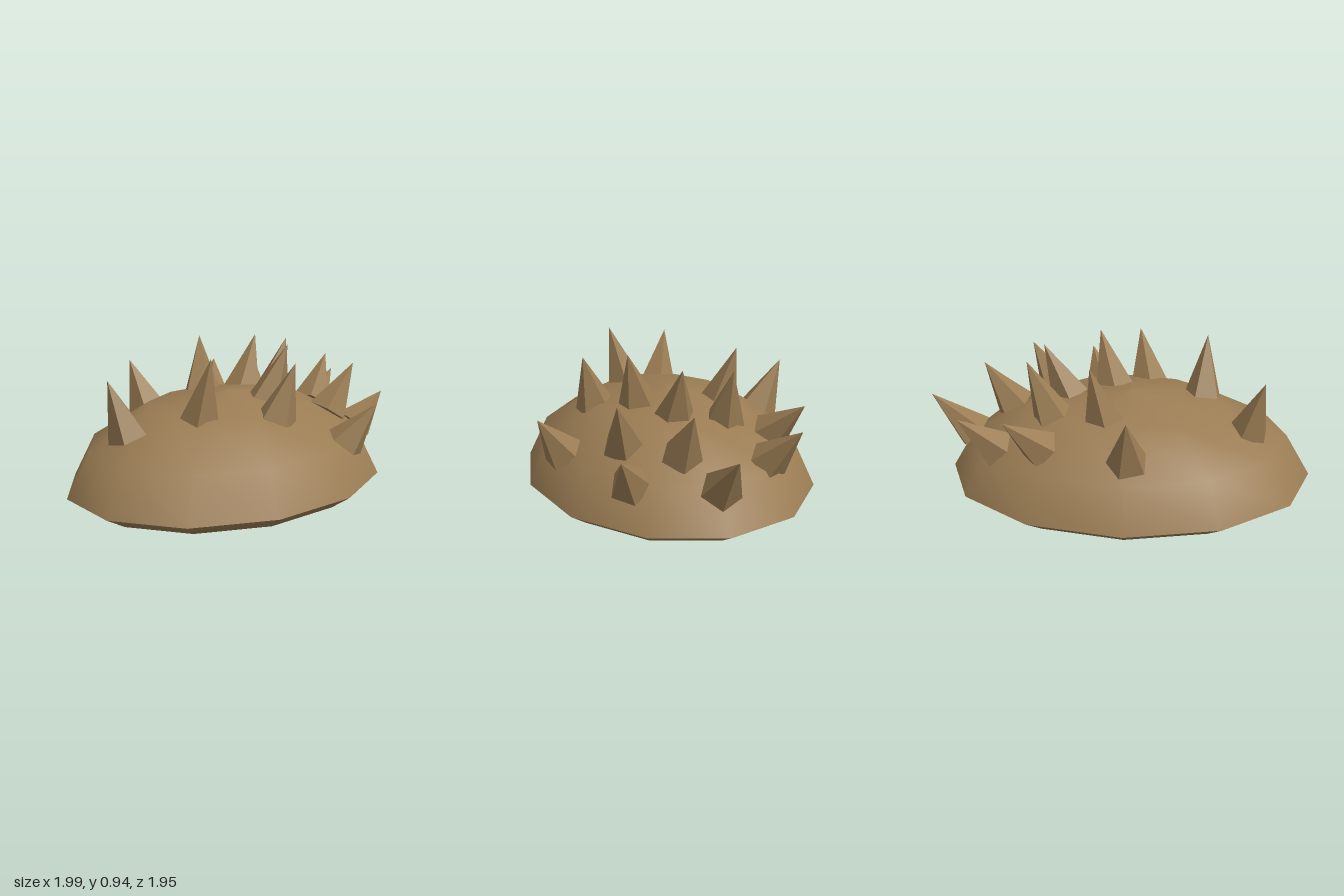
import * as THREE from 'three';

const RIM = 0.15, DOME = 0.52;
const CX = -0.04, CZ = 0.01;

// Skews a unit circle into the slanted oval footprint
const skew = new THREE.Matrix4().set(
  0.905, 0, -0.355, CX,
  0, 1, 0, 0,
  0.13, 0, 0.96, CZ,
  0, 0, 0, 1);
const unskew = skew.clone().invert();

// Height of the dome above a point of the ground plane
function domeHeight(x, z) {
  const p = new THREE.Vector3(x, 0, z).applyMatrix4(unskew);
  return RIM + DOME * Math.sqrt(Math.max(0, 1 - p.x * p.x - p.z * p.z));
}

// Half of the shell: a 12-sided lathe skewed to the oval
function shell(name, profile, material) {
  const geometry = new THREE.LatheGeometry(profile.map(([r, y]) => new THREE.Vector2(r, y)), 12);
  geometry.applyMatrix4(skew);
  const mesh = new THREE.Mesh(geometry, material);
  mesh.name = name;
  return mesh;
}

// Five-sided spike from its base on the dome to its tip
function spike([bx, bz, tx, ty, tz, twist], material) {
  const base = new THREE.Vector3(bx, domeHeight(bx, bz) - 0.04, bz);
  const axis = new THREE.Vector3(tx, ty, tz).sub(base);
  const length = axis.length();
  const geometry = new THREE.ConeGeometry(0.12, length, 5);
  geometry.translate(0, length / 2, 0);
  geometry.rotateY(Math.PI / 2 - THREE.MathUtils.degToRad(twist));
  const mesh = new THREE.Mesh(geometry, material);
  mesh.quaternion.setFromUnitVectors(new THREE.Vector3(0, 1, 0), axis.normalize());
  mesh.position.copy(base);
  mesh.name = 'spike';
  return mesh;
}

export function createModel() {
  const group = new THREE.Group();
  group.name = 'spikyShell';
  const skin = new THREE.MeshStandardMaterial({ color: 0x9b7d54 });
  const horn = new THREE.MeshStandardMaterial({ color: 0x9b7d54, flatShading: true });

  // Domed back and shallow belly meeting at a sharp rim
  group.add(shell('back', [[1, RIM], [0.866, 0.4], [0.5, 0.6], [0, 0.67]], skin));
  group.add(shell('belly', [[0, 0], [0.5, 0.02], [0.866, 0.073], [1, RIM]], skin));

  // Spikes: base x, base z, tip x, tip y, tip z, twist in degrees
  const spikes = [
    [-0.04, -0.65, 0.01, 0.69, -0.88, 30],
    [0.25, -0.76, 0.31, 0.645, -0.98, 36],
    [0.63, -0.65, 0.81, 0.61, -0.83, 36],
    [0.57, -0.39, 0.69, 0.77, -0.52, 36],
    [0.80, -0.20, 0.99, 0.57, -0.25, 36],
    [0.59, -0.04, 0.76, 0.785, -0.10, 36],
    [0.60, 0.34, 0.77, 0.64, 0.40, 0],
    [0.27, -0.20, 0.38, 0.915, -0.30, 0],
    [0.13, -0.44, 0.23, 0.905, -0.54, 36],
    [-0.15, -0.29, -0.15, 0.93, -0.39, 0],
    [-0.48, -0.40, -0.58, 0.77, -0.50, 28],
    [0.19, 0.08, 0.31, 0.94, 0.08, 0],
    [0.19, 0.37, 0.29, 0.885, 0.39, 0],
    [-0.25, 0.41, -0.20, 0.945, 0.49, 34],
    [-0.65, 0.39, -0.76, 0.82, 0.39, 34],
  ];
  for (const s of spikes) group.add(spike(s, horn));
  return group;
}
